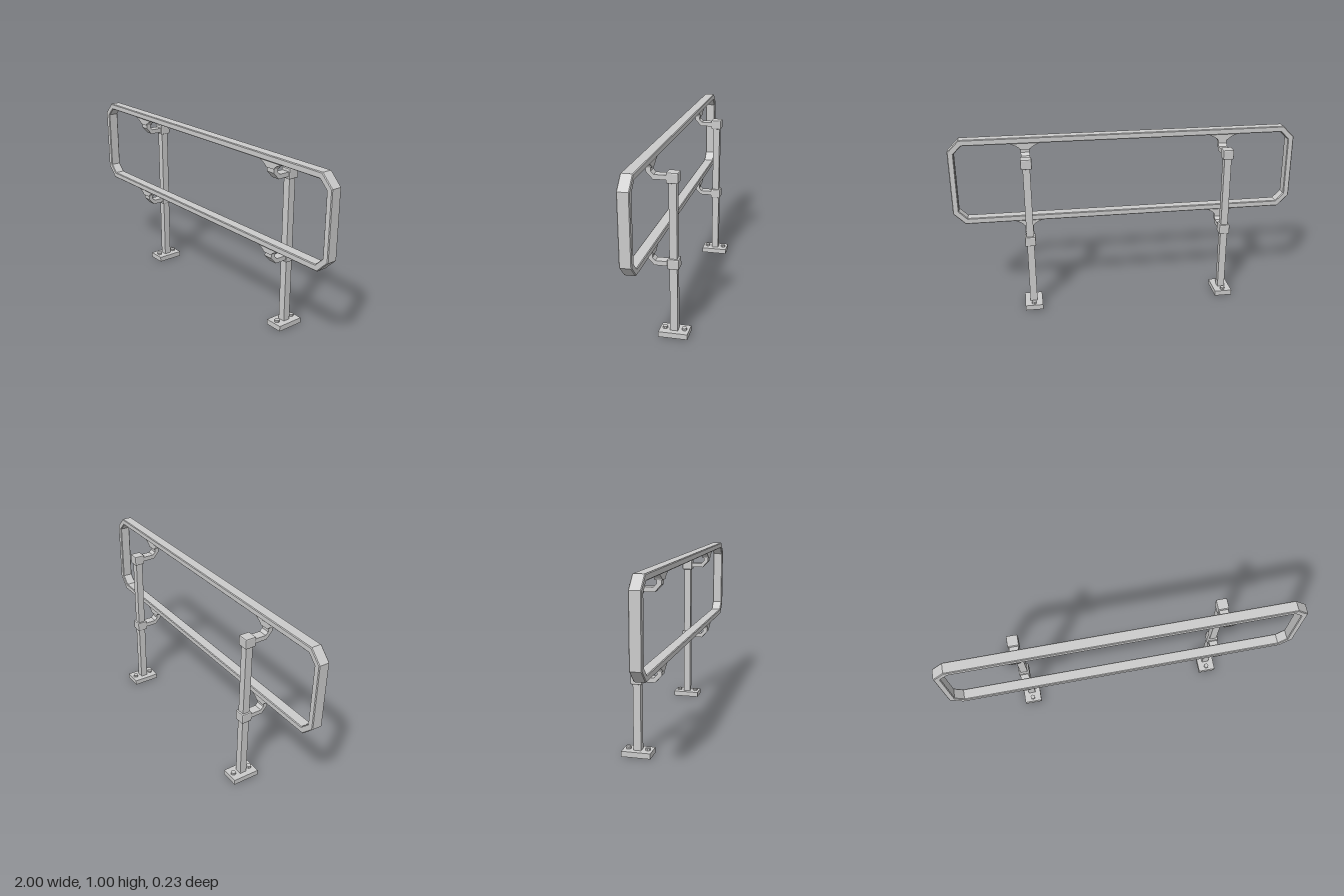
import * as THREE from 'three';
import { RoundedBoxGeometry } from 'three/addons/geometries/RoundedBoxGeometry.js';

const material = new THREE.MeshStandardMaterial({ color: 0xcccccc, flatShading: true });

function addPart(parent, name, geometry, x = 0, y = 0, z = 0) {
  const mesh = new THREE.Mesh(geometry, material);
  mesh.name = name;
  mesh.position.set(x, y, z);
  parent.add(mesh);
  return mesh;
}

// Rectangle with cut corners, centred on y = 0.75
function octagon(Path, w, h, c) {
  const pts = [[w - c, -h], [w, c - h], [w, h - c], [w - c, h], [c - w, h], [-w, h - c], [-w, c - h], [c - w, -h]];
  return new Path(pts.map(([x, y]) => new THREE.Vector2(x, y + 0.75)));
}

function polygon(points) {
  return new THREE.Shape(points.map(([x, y]) => new THREE.Vector2(x, y)));
}

// Closed guard rail loop with slightly eased edges
function railLoop() {
  const b = 0.004, t = 0.034;
  const shape = octagon(THREE.Shape, 1 - b, 0.25 - b, 0.066 - b * 0.586);
  shape.holes.push(octagon(THREE.Path, 1 - t + b, 0.25 - t + b, 0.046 + b * 0.586));
  const depth = 0.062 - 2 * b;
  return new THREE.ExtrudeGeometry(shape, { depth, bevelThickness: b, bevelSize: b, bevelSegments: 1 })
    .translate(0, 0, -depth / 2);
}

// Bent arm from the collar to the rail, drawn in (z, y) and swept across x
function bracketArm() {
  const shape = polygon([[-0.01, -0.012], [0.063, -0.012], [0.098, 0.026], [0.098, 0.09],
    [0.072, 0.09], [0.072, 0.029], [0.057, 0.013], [-0.01, 0.013]]);
  return new THREE.ExtrudeGeometry(shape, { depth: 0.05, bevelEnabled: false })
    .translate(0, 0, -0.025).rotateY(-Math.PI / 2);
}

// Flared saddle under the rail
function saddle() {
  const half = [[0.029, 0.048], [0.033, 0.056], [0.05, 0.068], [0.083, 0.083], [0.083, 0.088]];
  const shape = polygon([...half, ...half.map(([x, y]) => [-x, y]).reverse()]);
  return new THREE.ExtrudeGeometry(shape, { depth: 0.04, bevelEnabled: false }).translate(0, 0, -0.02);
}

// Floor plate, bolts, upright, collars and rail brackets
function createPost(name) {
  const post = new THREE.Group();
  post.name = name;
  const z = -0.037;
  addPart(post, 'basePlate', new THREE.BoxGeometry(0.102, 0.03, 0.158), 0, 0.015, z);
  addPart(post, 'upright', new THREE.BoxGeometry(0.041, 0.87, 0.041), 0, 0.465, z);
  for (const dz of [-0.053, 0.053]) {
    addPart(post, 'bolt', new THREE.CylinderGeometry(0.014, 0.014, 0.014, 8), 0, 0.036, z + dz);
  }
  for (const y of [0.417, 0.881]) {
    addPart(post, 'collar', new RoundedBoxGeometry(0.062, 0.057, 0.062, 1, 0.006), 0, y, z);
    addPart(post, 'bracketArm', bracketArm(), 0, y, 0);
    addPart(post, 'railSaddle', saddle(), 0, y, 0.084);
  }
  return post;
}

export function createModel() {
  const model = new THREE.Group();
  model.name = 'guardRail';
  addPart(model, 'railLoop', railLoop(), 0, 0, 0.085);
  for (const side of [-1, 1]) {
    const post = createPost(side > 0 ? 'leftPost' : 'rightPost');
    post.position.x = side * 0.572;
    model.add(post);
  }
  return model;
}
